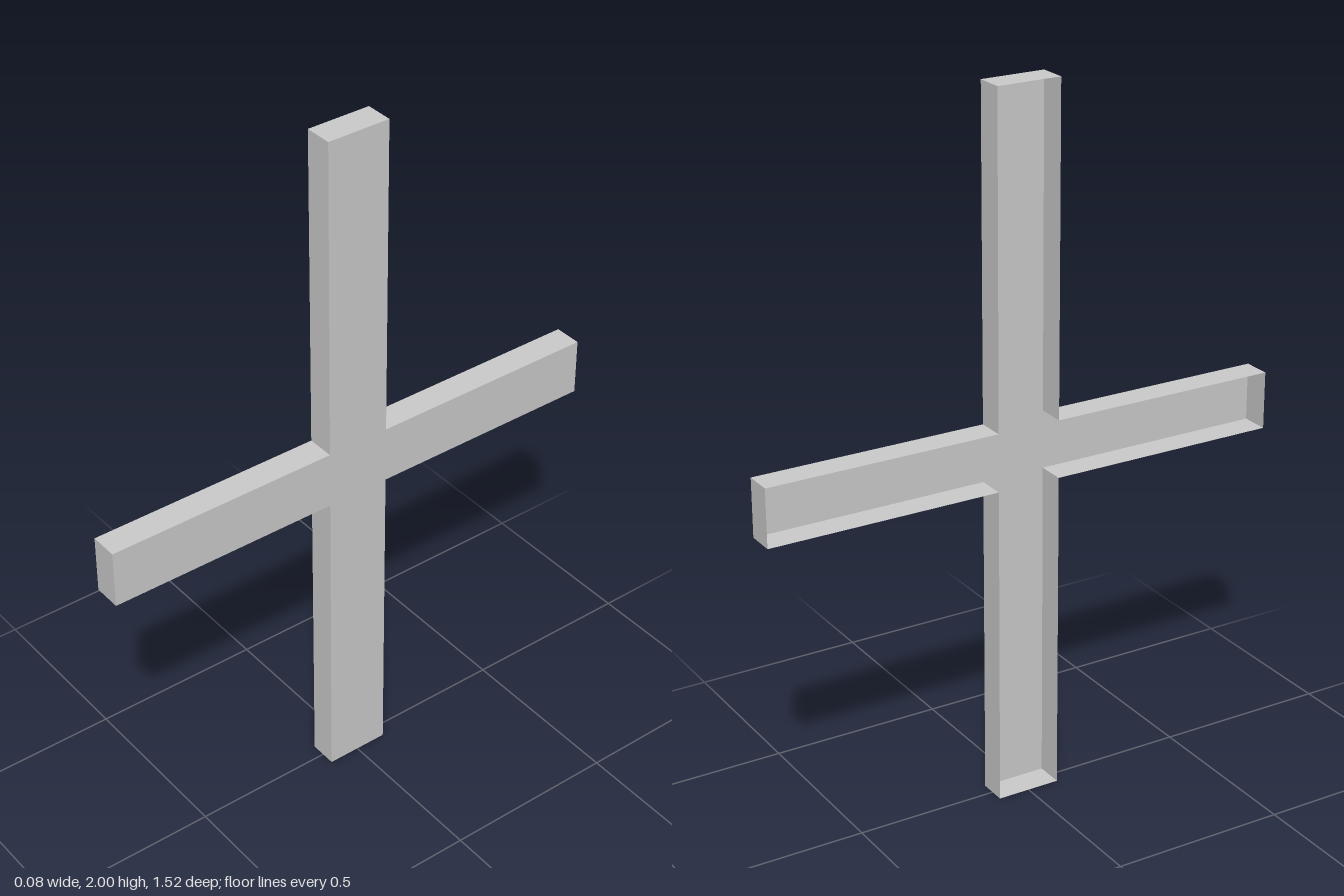
import * as THREE from 'three';

const DEPTH = 0.04;                    // half thickness
const POST = 0.092, ARM = 0.082;       // half widths of post and arm
const REACH = 0.76, HEIGHT = 1;        // half lengths of arm and post

export function createModel() {
  const group = new THREE.Group();
  group.name = 'hollowCross';
  const material = new THREE.MeshStandardMaterial({
    color: 0xcccccc, flatShading: true, side: THREE.DoubleSide,
  });

  // Counter-clockwise cross outline, centred on the origin
  const outline = [
    [POST, -HEIGHT], [POST, -ARM], [REACH, -ARM], [REACH, ARM], [POST, ARM], [POST, HEIGHT],
    [-POST, HEIGHT], [-POST, ARM], [-REACH, ARM], [-REACH, -ARM], [-POST, -ARM], [-POST, -HEIGHT],
  ].map(([x, y]) => new THREE.Vector2(x, y));

  const add = (name, geometry) => {
    geometry.rotateY(Math.PI / 2).translate(0, HEIGHT, 0);
    const mesh = new THREE.Mesh(geometry, material);
    mesh.name = name;
    group.add(mesh);
  };

  // Closed face on the +x side
  add('facePlate', new THREE.ShapeGeometry(new THREE.Shape(outline)).translate(0, 0, DEPTH));

  // Thin rim wall around the outline; the -x side stays open
  const positions = [];
  outline.forEach((a, i) => {
    const b = outline[(i + 1) % outline.length];
    const corners = [[a, -DEPTH], [b, -DEPTH], [b, DEPTH], [a, DEPTH]];
    for (const k of [0, 1, 2, 0, 2, 3]) {
      const [p, z] = corners[k];
      positions.push(p.x, p.y, z);
    }
  });
  const rim = new THREE.BufferGeometry();
  rim.setAttribute('position', new THREE.Float32BufferAttribute(positions, 3));
  rim.computeVertexNormals();
  add('rimWall', rim);

  return group;
}
